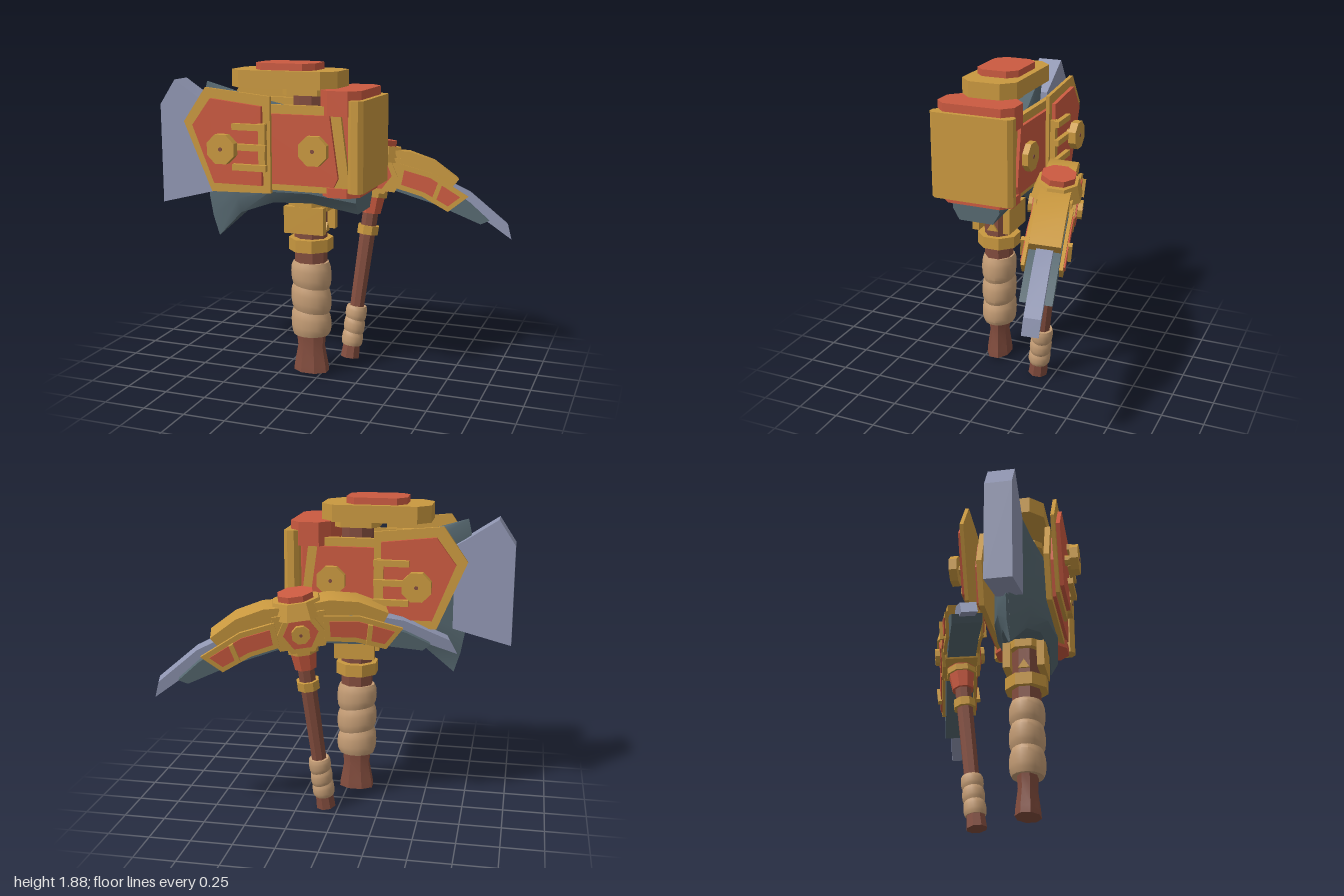
import * as THREE from 'three';
import { toCreasedNormals } from 'three/addons/utils/BufferGeometryUtils.js';

const paint = (name, color) => {
  const m = new THREE.MeshStandardMaterial({ color });
  m.name = name;
  return m;
};

export function createModel() {
  const gold = paint('gold', 0xc9983f), red = paint('red', 0xcb5a40), slate = paint('slate', 0x566870);
  const steel = paint('pale steel', 0x9096b2), wood = paint('dark wood', 0x834d3e), wrap = paint('tan wrap', 0xc69e76);

  const add = (parent, name, geo, mat) => {
    const mesh = new THREE.Mesh(toCreasedNormals(geo, 0.5), mat);
    mesh.name = name;
    parent.add(mesh);
    return mesh;
  };
  // outline in x,y extruded from z0 to z1
  const prism = (pts, z0, z1) => {
    const shape = new THREE.Shape(pts.map(p => new THREE.Vector2(...p)));
    return new THREE.ExtrudeGeometry(shape, { depth: z1 - z0, bevelEnabled: false }).translate(0, 0, z0);
  };
  // rectangle in x,z with cut corners, raised from y0 to y1
  const block = (x0, x1, y0, y1, z0, z1, c) => {
    const a = (x1 - x0) / 2, b = (z1 - z0) / 2;
    return prism([[-a, c - b], [c - a, -b], [a - c, -b], [a, c - b], [a, b - c], [a - c, b], [c - a, b], [-a, b - c]], 0, y1 - y0)
      .rotateX(-Math.PI / 2).translate((x0 + x1) / 2, y0, (z0 + z1) / 2);
  };
  const box = (x0, x1, y0, y1, z0, z1) =>
    new THREE.BoxGeometry(x1 - x0, y1 - y0, z1 - z0).translate((x0 + x1) / 2, (y0 + y1) / 2, (z0 + z1) / 2);
  const lathe = (pts, sides, sz = 1) =>
    new THREE.LatheGeometry(pts.map(p => new THREE.Vector2(...p)), sides, Math.PI / sides).scale(1, 1, sz);
  const tube = (r0, r1, y0, y1, sides, sz) => lathe([[0, y0], [r0, y0], [r1, y1], [0, y1]], sides, sz);
  const stud = (x, y, r, z0, z1) =>
    new THREE.CylinderGeometry(r, r, z1 - z0, 8).rotateY(Math.PI / 8).rotateX(Math.PI / 2).translate(x, y, (z0 + z1) / 2);
  // bulging leather grip with slanted turns
  const grip = (r, y0, y1, turns, sz) => {
    const pts = [[0, y0]];
    for (let i = 0; i <= turns * 6; i++) {
      const t = i / (turns * 6);
      pts.push([r * (0.88 + 0.12 * Math.sqrt(Math.abs(Math.sin(t * turns * Math.PI)))), y0 + (y1 - y0) * t]);
    }
    pts.push([0, y1]);
    const geo = lathe(pts, 16, sz), p = geo.attributes.position;
    for (let i = 0; i < p.count; i++) {
      const t = (p.getY(i) - y0) / (y1 - y0);
      p.setY(i, p.getY(i) - 0.6 * p.getX(i) * t * (1 - t));
    }
    return geo;
  };
  // skin over closed cross-sections with both ends capped
  const loft = sections => {
    const n = sections[0].length, idx = [];
    for (let i = 0; i < sections.length - 1; i++) for (let j = 0; j < n; j++) {
      const a = i * n + j, b = i * n + (j + 1) % n;
      idx.push(a, b, a + n, b, b + n, a + n);
    }
    const e = (sections.length - 1) * n;
    for (let j = 1; j < n - 1; j++) idx.push(0, j + 1, j, e, e + j, e + j + 1);
    const geo = new THREE.BufferGeometry();
    geo.setAttribute('position', new THREE.Float32BufferAttribute(sections.flat(2), 3));
    geo.setIndex(idx);
    return geo;
  };

  const model = new THREE.Group();

  // ---------- large axe, centred on its own z = 0 ----------
  const axe = new THREE.Group();
  axe.name = 'largeAxe';
  axe.position.z = 0.172;
  model.add(axe);

  const haft = new THREE.Group();
  haft.name = 'axeHandle';
  haft.position.x = -0.06;
  axe.add(haft);
  add(haft, 'pommel', lathe([[0, 0.015], [0.112, 0.03], [0.108, 0.07], [0.085, 0.19], [0.095, 0.29], [0, 0.29]], 8, 0.68), wood);
  add(haft, 'grip', grip(0.124, 0.265, 0.72, 3, 0.86), wrap);
  add(haft, 'shaft', tube(0.1, 0.1, 0.7, 1.74, 8, 0.88), wood);
  add(haft, 'lowerRing', tube(0.133, 0.133, 0.795, 0.87, 8), gold);
  add(haft, 'neckRing', tube(0.133, 0.133, 1.04, 1.12, 8), gold);
  for (const s of [-1, 1]) {
    add(haft, 'neckPlate', box(-0.123, 0.123, 0.91, 1.07, s * 0.102 - 0.022, s * 0.102 + 0.022), gold);
    add(haft, 'neckTooth', prism([[-0.035, 0.91], [0.035, 0.91], [0, 0.965]], -0.006, 0.006)
      .rotateY(Math.PI / 2).translate(s * 0.1, 0, 0), gold);
  }

  // flared slate body: [bottom x,y], [top x,y], half width
  const stations = [
    [0.27, 1.05, 0.27, 1.6, 0.15], [0, 1.1, 0, 1.6, 0.185], [-0.25, 1.085, -0.25, 1.63, 0.16],
    [-0.48, 1.0, -0.48, 1.69, 0.095], [-0.66, 0.83, -0.72, 1.77, 0.008]];
  const rows = [0, 0.13, 0.27, 0.5, 0.75, 0.91, 1], bow = [0, -0.03, -0.045, 0.02, 0.03, -0.025, 0];
  const thick = [0.72, 1, 1, 1, 1, 0.9, 0.7];
  add(axe, 'axeBody', loft(stations.map(([bx, by, tx, ty, h], i) => {
    const side = s => rows.map((v, k) =>
      [bx + (tx - bx) * v + bow[k] * (i / 4) ** 3, by + (ty - by) * v, s * h * thick[k]]);
    return [...side(1), ...side(-1).reverse()];
  })), slate);
  add(axe, 'axeEdge', prism([[-1, 1.03], [-0.65, 1.12], [-0.65, 1.62], [-0.71, 1.655], [-0.9, 1.78], [-1, 1.63]], -0.077, 0.077), steel);

  // side armour, same on both faces
  for (const s of [1, -1]) {
    const face = new THREE.Group();
    face.name = s > 0 ? 'frontArmour' : 'backArmour';
    axe.add(face);
    const put = (name, make, z0, z1, mat) => add(face, name, make(Math.min(s * z0, s * z1), Math.max(s * z0, s * z1)), mat);
    const plate = pts => (a, b) => prism(pts, a, b);
    put('innerPlate', plate([[-0.55, 1.43], [-0.46, 1.67], [0.1, 1.67], [0.2, 1.62], [0.25, 1.24], [0.23, 1.18], [-0.46, 1.18]]), 0.18, 0.212, gold);
    put('innerPanel', plate([[-0.48, 1.43], [-0.42, 1.62], [0.14, 1.62], [0.19, 1.27], [0.165, 1.22], [-0.42, 1.22]]), 0.212, 0.232, red);
    put('outerPlate', plate([[-0.74, 1.56], [-0.6, 1.76], [-0.2, 1.72], [-0.2, 1.17], [-0.57, 1.16]]), 0.248, 0.27, gold);
    put('outerPanel', plate([[-0.675, 1.545], [-0.56, 1.7], [-0.245, 1.665], [-0.245, 1.215], [-0.545, 1.215]]), 0.27, 0.293, red);
    for (const y of [1.32, 1.435, 1.55])
      put('clasp', (a, b) => box(-0.41, -0.205, y - 0.018, y + 0.018, a, b), 0.3, 0.33, gold);
    put('claspMount', (a, b) => box(-0.26, -0.22, 1.3, 1.57, a, b), 0.27, 0.302, gold);
    for (const [x, z0, z1] of [[-0.46, 0.328, 0.376], [0.055, 0.238, 0.275]]) {
      put('stud', (a, b) => stud(x, 1.425, 0.09, a, b), z0, z1, gold);
      put('studStem', (a, b) => stud(x, 1.425, 0.03, a, b), z0 - 0.04, z0, gold);
      put('studPin', (a, b) => stud(x, 1.425, 0.012, a, b), z1, z1 + 0.003, wood);
    }
  }

  // hammer end and crown
  add(axe, 'hammerCore', block(0.07, 0.29, 1.2, 1.63, -0.19, 0.19, 0.05), red);
  add(axe, 'hammerTop', block(0.07, 0.31, 1.62, 1.76, -0.24, 0.24, 0.06), red);
  add(axe, 'hammerBase', block(0.07, 0.3, 1.16, 1.215, -0.225, 0.225, 0.06), red);
  add(axe, 'hammerFace', block(0.25, 0.34, 1.195, 1.71, -0.258, 0.258, 0.025), gold);
  add(axe, 'crownCollar', block(-0.2, 0.065, 1.715, 1.76, -0.12, 0.12, 0.04), gold);
  add(axe, 'crown', block(-0.51, 0.14, 1.755, 1.855, -0.173, 0.173, 0.075), gold);
  add(axe, 'crownCap', block(-0.365, -0.003, 1.855, 1.895, -0.132, 0.132, 0.055), red);

  // ---------- smaller pick, leaning behind ----------
  const pick = new THREE.Group();
  pick.name = 'pick';
  pick.position.set(0.075, 0, -0.147);
  pick.rotation.set(-0.096, 0.251, -0.128, 'YZX');
  model.add(pick);

  add(pick, 'pickPommel', lathe([[0, 0.012], [0.062, 0.02], [0.055, 0.12], [0, 0.12]], 8), wood);
  add(pick, 'pickGrip', grip(0.068, 0.1, 0.355, 3, 1), wrap);
  add(pick, 'pickShaft', tube(0.047, 0.055, 0.34, 1.2, 8), wood);
  add(pick, 'pickRing', tube(0.07, 0.07, 0.82, 0.875, 8), gold);
  add(pick, 'pickCollar', tube(0.068, 0.09, 0.955, 1.12, 8), red);
  add(pick, 'pickCollarBand', tube(0.095, 0.095, 1.06, 1.1, 8), gold);
  add(pick, 'pickHub', prism([[-0.13, 1.11], [0.13, 1.11], [0.17, 1.2], [0.15, 1.32], [-0.15, 1.32], [-0.17, 1.2]], -0.1, 0.1), gold);
  add(pick, 'pickCrown', tube(0.175, 0.14, 1.29, 1.385, 8, 0.87), gold);
  add(pick, 'pickCap', tube(0.108, 0.108, 1.385, 1.42, 8, 0.95), red);

  for (const m of [1, -1]) {
    const arm = new THREE.Group();
    arm.name = m > 0 ? 'leftArm' : 'rightArm';
    pick.add(arm);
    const p = (pts, a, b) => prism(pts.map(([x, y]) => [m * x, y]), a, b);
    add(arm, 'armCore', p([[0.08, 1.29], [0.38, 1.22], [0.6, 1.11], [0.73, 1.02], [0.68, 0.99], [0.4, 1.07], [0.08, 1.13]], -0.088, 0.088), slate);
    add(arm, 'pickTip', p([[0.45, 1.22], [0.6, 1.17], [0.85, 1.01], [0.885, 0.92], [0.7, 1.02], [0.45, 1.1]], -0.046, 0.046), steel);
    add(arm, 'topArmour', p([[0.1, 1.365], [0.19, 1.37], [0.35, 1.335], [0.51, 1.245], [0.475, 1.19], [0.3, 1.265], [0.1, 1.28]], -0.086, 0.086), gold);
    for (const s of [1, -1]) {
      const q = (pts, a, b) => p(pts, Math.min(s * a, s * b), Math.max(s * a, s * b));
      add(arm, 'armPlate', q([[0.13, 1.14], [0.14, 1.29], [0.34, 1.26], [0.58, 1.15], [0.47, 1.04], [0.3, 1.11]], 0.092, 0.112), gold);
      add(arm, 'armPanel', q([[0.165, 1.165], [0.17, 1.255], [0.335, 1.23], [0.53, 1.14], [0.465, 1.075], [0.31, 1.138]], 0.112, 0.12), red);
      add(arm, 'armClasp', q([[0.36, 1.1], [0.385, 1.09], [0.41, 1.2], [0.385, 1.21]], 0.115, 0.14), gold);
    }
  }
  // hub plates on both faces
  const hex = r => [0, 1, 2, 3, 4, 5].map(i => [r * Math.cos(i * Math.PI / 3), 1.21 + r * Math.sin(i * Math.PI / 3)]);
  for (const s of [1, -1]) {
    const span = (a, b) => [Math.min(s * a, s * b), Math.max(s * a, s * b)];
    add(pick, 'hubPlate', prism(hex(0.135), ...span(0.098, 0.12)), gold);
    add(pick, 'hubPanel', prism(hex(0.1), ...span(0.12, 0.128)), red);
    add(pick, 'hubStud', stud(0, 1.21, 0.055, ...span(0.125, 0.155)), gold);
    add(pick, 'hubPin', stud(0, 1.21, 0.01, ...span(0.155, 0.158)), wood);
  }
  return model;
}
